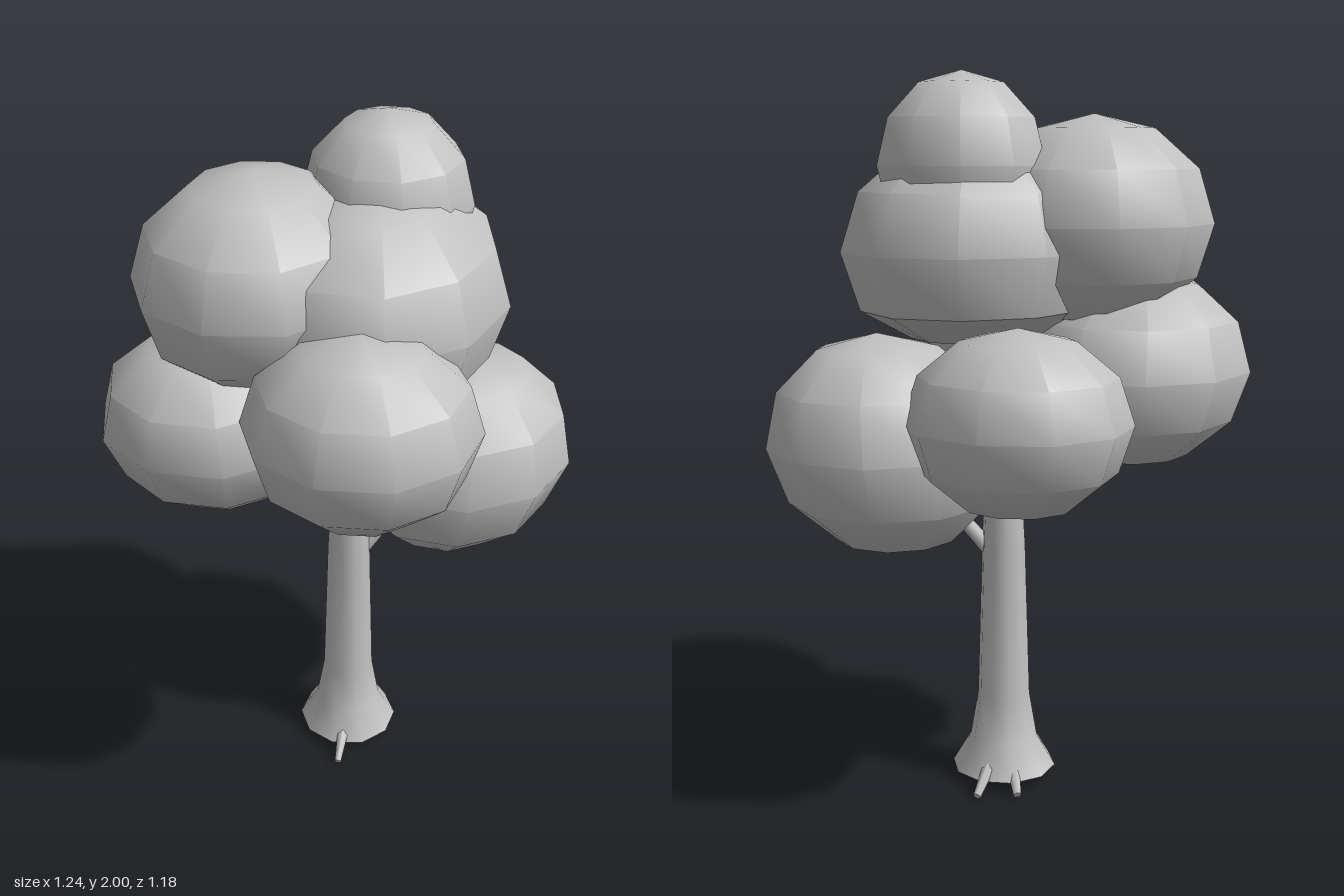
import * as THREE from 'three';
import { toCreasedNormals } from 'three/addons/utils/BufferGeometryUtils.js';

const grey = new THREE.MeshStandardMaterial({ color: 0xc0c0c0 });
grey.name = 'plain grey';

// Tapered stick between two points, used for roots and branches
function stick(name, from, to, r0, r1) {
  const a = new THREE.Vector3(...from), b = new THREE.Vector3(...to);
  const dir = b.clone().sub(a);
  const mesh = new THREE.Mesh(new THREE.CylinderGeometry(r1, r0, dir.length(), 6), grey);
  mesh.position.copy(a).add(b).multiplyScalar(0.5);
  mesh.quaternion.setFromUnitVectors(new THREE.Vector3(0, 1, 0), dir.normalize());
  mesh.name = name;
  return mesh;
}

// Faceted leaf clump: a coarse ball with a flattened underside (floor, in radii)
// that leans sideways with height (lean in x and z)
function clump({ name, centre, radii, turn, floor = -1, lean = [0, 0] }) {
  const geo = new THREE.SphereGeometry(1, 10, 6);
  geo.rotateY(turn);
  geo.scale(...radii);
  const pos = geo.attributes.position;
  for (let i = 0; i < pos.count; i++) {
    const y = Math.max(pos.getY(i), floor * radii[1]);
    pos.setXYZ(i, pos.getX(i) + lean[0] * y, y, pos.getZ(i) + lean[1] * y);
  }
  const mesh = new THREE.Mesh(toCreasedNormals(geo, 0.7), grey);
  mesh.position.set(...centre);
  mesh.name = name;
  return mesh;
}

export function createModel() {
  const tree = new THREE.Group();
  tree.name = 'tree';

  // Trunk with a flared foot
  const profile = [[0, 0.03], [0.15, 0.03], [0.097, 0.12], [0.075, 0.25], [0.062, 0.7],
    [0.05, 0.92], [0.02, 1.06], [0, 1.08]].map(p => new THREE.Vector2(...p));
  const trunk = new THREE.Mesh(toCreasedNormals(new THREE.LatheGeometry(profile, 10), 0.8), grey);
  trunk.position.set(0.013, 0, -0.055);
  trunk.name = 'trunk';
  tree.add(trunk);

  // Roots
  const roots = [
    [[0.03, 0.06, 0.03], [0.05, 0.01, 0.15]],
    [[0.01, 0.08, -0.13], [0, 0.01, -0.255]],
    [[-0.04, 0.07, -0.11], [-0.1, 0.01, -0.2]],
  ];
  roots.forEach(([a, b]) => tree.add(stick('root', a, b, 0.022, 0.011)));

  // Branches
  const branches = [
    [[0.04, 0.67, -0.07], [0.2, 0.9, -0.17]],
    [[0.0, 0.9, -0.04], [-0.13, 1.1, 0.05]],
    [[0.01, 0.95, -0.04], [0.06, 1.25, 0.1]],
    [[0.0, 0.88, -0.08], [-0.12, 1.05, -0.22]],
  ];
  branches.forEach(([a, b]) => tree.add(stick('branch', a, b, 0.023, 0.015)));

  // Leaf clumps
  const clumps = [
    { name: 'topLeaves', centre: [0.073, 1.755, -0.175], radii: [0.23, 0.245, 0.235], turn: 0.16 },
    { name: 'upperLeftSideLeaves', centre: [0.08, 1.53, -0.075], radii: [0.355, 0.315, 0.42], turn: 0.1, floor: -0.75 },
    { name: 'upperRightSideLeaves', centre: [-0.2, 1.6, 0.075], radii: [0.328, 0.292, 0.345], turn: 0.3, floor: -0.85 },
    { name: 'lowerRightFrontLeaves', centre: [-0.31, 1.2, 0.125], radii: [0.32, 0.27, 0.338], turn: 0.15, lean: [0, 0.15] },
    { name: 'frontLeaves', centre: [0.16, 1.34, 0.29], radii: [0.31, 0.265, 0.3], turn: 0.25 },
    { name: 'lowerLeftLeaves', centre: [0.28, 1.0, -0.235], radii: [0.33, 0.305, 0.345], turn: 0.05, lean: [0.1, 0] },
    { name: 'backLeaves', centre: [-0.15, 1.1, -0.3], radii: [0.305, 0.25, 0.29], turn: 0.4, floor: -0.9 },
  ];
  clumps.forEach(c => tree.add(clump(c)));

  return tree;
}
